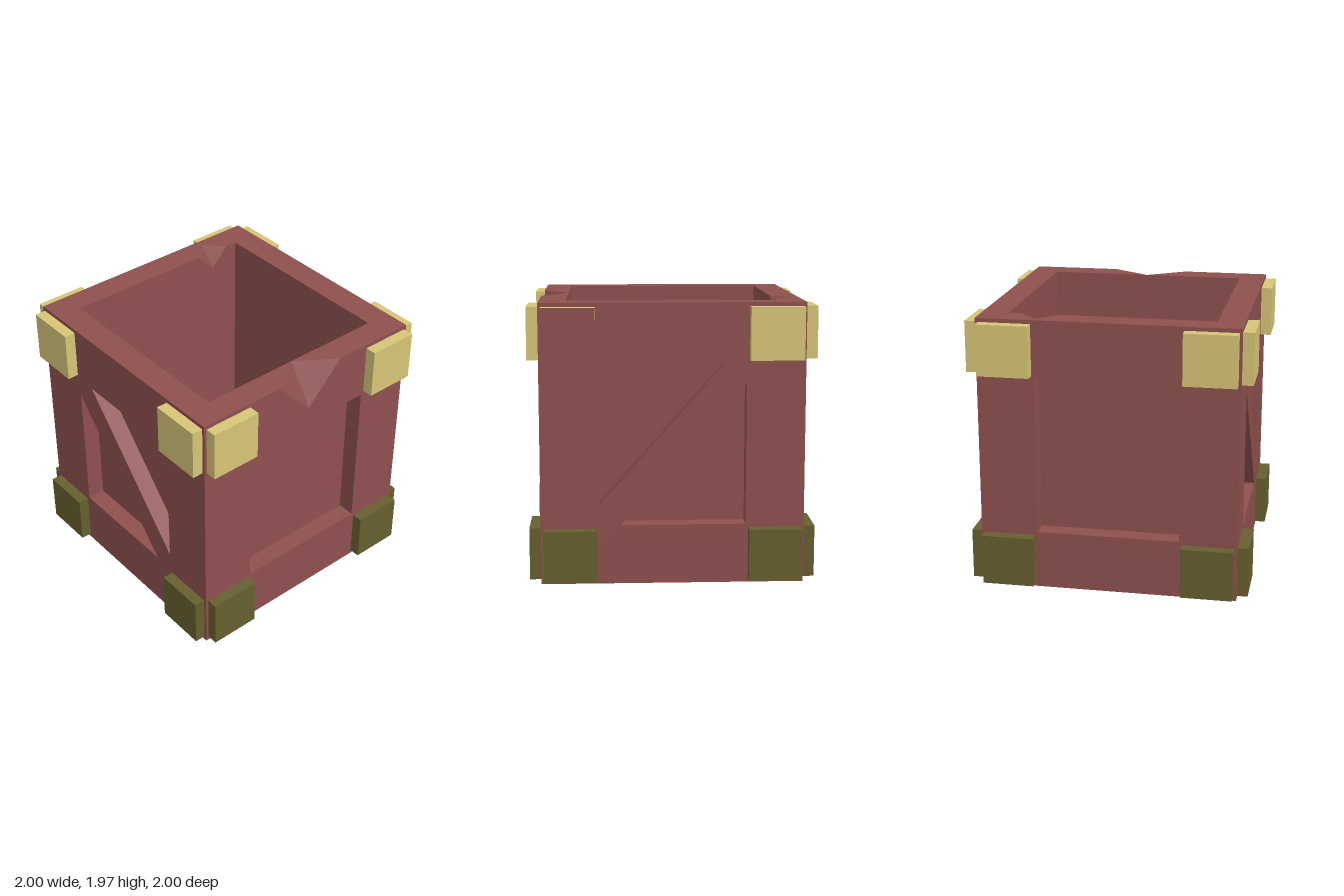
import * as THREE from 'three';
import { mergeGeometries } from 'three/addons/utils/BufferGeometryUtils.js';

const OUT = 0.92, IN = 0.73, TOP = 1.97, FLOOR = 0.19, RECESS = 0.13;

const wood = new THREE.MeshStandardMaterial({ name: 'redWood', color: 0x8d504e });
const brass = new THREE.MeshStandardMaterial({ name: 'paleBrass', color: 0xd6c577 });
const darkBrass = new THREE.MeshStandardMaterial({ name: 'darkOlive', color: 0x665f2e });

const path = pts => pts.map(([x, y]) => new THREE.Vector2(x, y));

// Flat polygon with holes, facing +z at the given distance
function flat(outline, holes = [], z = 0) {
  const shape = new THREE.Shape(path(outline));
  holes.forEach(h => shape.holes.push(new THREE.Path(path(h))));
  const g = new THREE.ShapeGeometry(shape).toNonIndexed();
  g.deleteAttribute('uv');
  return g.translate(0, 0, z);
}

// Loose triangles from corner points
function triangles(points) {
  const g = new THREE.BufferGeometry().setFromPoints(points.map(p => new THREE.Vector3(...p)));
  g.computeVertexNormals();
  return g;
}

// Outer wall with sunken panels; panel corners run counter-clockwise
function wall(outline, panels) {
  const parts = [flat(outline, panels, OUT)];
  const back = OUT - RECESS;
  for (const panel of panels) {
    parts.push(flat(panel, [], back));
    panel.forEach((a, i) => {
      const b = panel[(i + 1) % panel.length];
      const quad = [[...a, OUT], [...b, OUT], [...b, back], [...a, back]];
      parts.push(triangles([0, 1, 2, 0, 2, 3].map(k => quad[k])));
    });
  }
  return mergeGeometries(parts);
}

const rect = (x, y0, y1) => [[-x, y0], [x, y0], [x, y1], [-x, y1]];

export function createModel() {
  const model = new THREE.Group();
  model.name = 'crate';
  const add = (name, geometry, material, rotY = 0) => {
    const mesh = new THREE.Mesh(geometry, material);
    mesh.name = name;
    mesh.rotation.y = rotY;
    model.add(mesh);
    return mesh;
  };

  // Outer walls: square panels front and back, diagonal braces on the sides
  const side = rect(OUT, 0, TOP);
  const notched = [[-OUT, 0], [OUT, 0], [OUT, TOP], [0.28, TOP], [0, 1.68], [-0.28, TOP], [-OUT, TOP]];
  const square = rect(0.51, 0.42, 1.55);
  const braces = [
    [[-0.51, 1.55], [-0.51, 0.56], [0.36, 1.55]],
    [[-0.36, 0.42], [0.51, 0.42], [0.51, 1.41]],
  ];
  const mirrored = braces.map(t => t.map(([x, y]) => [-x, y]).reverse());
  add('frontWall', wall(notched, [square]), wood);
  add('backWall', wall(side, [square]), wood, Math.PI);
  add('leftWall', wall(side, braces), wood, Math.PI / 2);
  add('rightWall', wall(side, mirrored), wood, -Math.PI / 2);

  // Inner walls, the back one with a chipped edge
  const inner = rect(IN, FLOOR, TOP);
  const chipped = [[-IN, FLOOR], [IN, FLOOR], [IN, TOP], [0.64, TOP], [0.505, 1.83], [0.37, TOP], [-IN, TOP]];
  for (let i = 0; i < 4; i++) {
    add('innerWall', flat(i === 0 ? chipped : inner, [], -IN), wood, i * Math.PI / 2);
  }

  // Rim with both chips cut out, inner floor and underside
  const apex = IN + 0.001;
  const rim = flat(
    [[-OUT, -OUT], [-0.28, -OUT], [0, -apex], [0.28, -OUT], [OUT, -OUT], [OUT, OUT], [-OUT, OUT]],
    [[[-IN, -IN], [IN, -IN], [IN, IN], [0.64, IN], [0.505, 0.87], [0.37, IN], [-IN, IN]]],
  );
  add('rim', rim.rotateX(-Math.PI / 2).translate(0, TOP, 0), wood);
  add('innerFloor', flat(rect(IN, -IN, IN)).rotateX(-Math.PI / 2).translate(0, FLOOR, 0), wood);
  add('underside', flat(rect(OUT, -OUT, OUT)).rotateX(Math.PI / 2), wood);

  // Broken faces left by the chips
  add('frontChip', triangles([[-0.28, TOP, OUT], [0, 1.68, OUT], [0, TOP, apex],
    [0, 1.68, OUT], [0.28, TOP, OUT], [0, TOP, apex]]), wood);
  add('backChip', triangles([[0.37, TOP, -IN], [0.505, 1.83, -IN], [0.505, TOP, -0.87],
    [0.505, 1.83, -IN], [0.64, TOP, -IN], [0.505, TOP, -0.87]]), wood);

  // Corner plates on every wall; one upper plate has a bare wood face
  for (let i = 0; i < 4; i++) {
    for (const s of [-1, 1]) {
      for (const upper of [false, true]) {
        const metal = upper ? brass : darkBrass;
        const bare = upper && i === 1 && s === -1;
        const plate = new THREE.BoxGeometry(0.37, 0.365, 0.08);
        plate.translate(s * 0.715, upper ? 1.76 : 0.213, 0.96);
        const material = bare ? [metal, metal, metal, metal, wood, metal] : metal;
        add(upper ? 'upperCornerPlate' : 'lowerCornerPlate', plate, material, i * Math.PI / 2);
      }
    }
  }
  return model;
}
